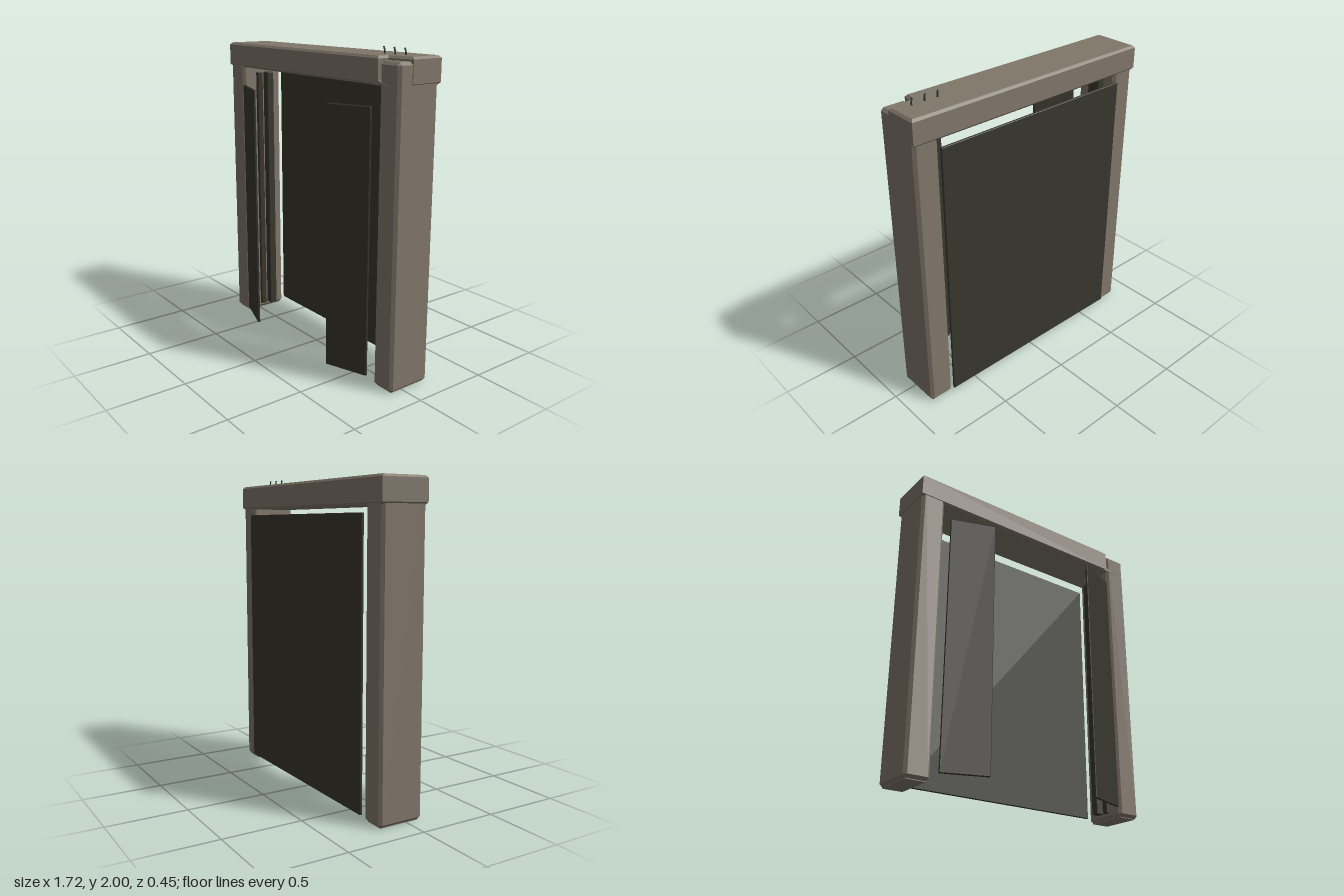
import * as THREE from 'three';
import { ConvexGeometry } from 'three/addons/geometries/ConvexGeometry.js';

// Box with flat chamfered edges, given by its bounds
function chamferBox(min, max, c) {
  const half = max.map((v, i) => (v - min[i]) / 2);
  const mid = max.map((v, i) => (v + min[i]) / 2);
  const pts = [];
  for (const sx of [-1, 1]) for (const sy of [-1, 1]) for (const sz of [-1, 1]) {
    for (let axis = 0; axis < 3; axis++) {
      const p = [sx, sy, sz].map((s, i) => mid[i] + s * (half[i] - (i === axis ? 0 : c)));
      pts.push(new THREE.Vector3(...p));
    }
  }
  return new ConvexGeometry(pts);
}

function polygon(points) {
  return new THREE.Shape(points.map(([x, y]) => new THREE.Vector2(x, y)));
}

export function createModel() {
  const group = new THREE.Group();
  const stone = new THREE.MeshStandardMaterial({ color: 0x81776a });
  stone.name = 'weatheredBeam';
  const dark = new THREE.MeshStandardMaterial({ color: 0x37362d });
  dark.name = 'darkPanel';

  const add = (name, geometry, material) => {
    const mesh = new THREE.Mesh(geometry, material);
    mesh.name = name;
    group.add(mesh);
    return mesh;
  };

  // Lintel: plan outline with a broken front corner, extruded downwards
  const bevel = 0.014;
  const plan = polygon([
    [-0.86, -0.207], [0.857, -0.207], [0.857, 0.005],
    [0.695, 0.037], [0.685, 0.103], [-0.86, 0.103],
  ]);
  const lintel = new THREE.ExtrudeGeometry(plan, {
    depth: 0.16 - 2 * bevel, bevelEnabled: true, bevelSegments: 1,
    bevelSize: bevel, bevelThickness: bevel, bevelOffset: -bevel,
  });
  lintel.rotateX(Math.PI / 2).translate(0, 1.96 - bevel, 0);
  add('lintel', lintel, stone);

  // Jagged remnant left at the foot of the broken corner
  const shard = new THREE.ExtrudeGeometry(
    polygon([[0.665, 1.802], [0.78, 1.802], [0.675, 1.83]]),
    { depth: 0.068, bevelEnabled: false });
  shard.translate(0, 0, 0.035);
  add('brokenShard', shard, stone);

  // Bent reinforcing rods standing on the lintel
  for (const x of [0.57, 0.655, 0.74]) {
    const bend = new THREE.CatmullRomCurve3([
      new THREE.Vector3(x, 1.94, -0.045),
      new THREE.Vector3(x + 0.004, 1.975, -0.045),
      new THREE.Vector3(x - 0.003, 2.0, -0.043),
    ]);
    add('rod', new THREE.TubeGeometry(bend, 4, 0.005, 6), dark);
  }

  // Back panel
  add('backPanel', chamferBox([-0.695, 0.04, -0.226], [0.695, 1.76, -0.209], 0.003), dark);

  for (const s of [-1, 1]) {
    const side = s > 0 ? 'left' : 'right';
    const span = (a, b) => (s > 0 ? [a, b] : [-b, -a]);

    // Posts
    const [p0, p1] = span(0.692, 0.853);
    add(side + 'Post', chamferBox([p0, 0.005, -0.198], [p1, 1.935, 0.1], 0.018), stone);

    // Small foot below the post
    const [f0, f1] = span(0.71, 0.835);
    add(side + 'Foot', new THREE.BoxGeometry(f1 - f0, 0.02, 0.26)
      .translate((f0 + f1) / 2, 0.01, -0.05), stone);

    // Door guide strips on the inner face of the post
    for (const [inner, z0, z1] of [[0.67, -0.04, 0.0], [0.642, -0.11, -0.06]]) {
      const [g0, g1] = span(inner, 0.697);
      add(side + 'Guide', chamferBox([g0, 0.04, z0], [g1, 1.76, z1], 0.003), dark);
    }

    // Angled front shutter
    const shutter = add(side + 'Shutter',
      chamferBox([-0.145, 0.05, -0.008], [0.145, 1.685, 0.008], 0.004), dark);
    shutter.position.set(s * 0.52, 0, 0.167);
    shutter.rotation.y = s * 0.338;
  }
  return group;
}
